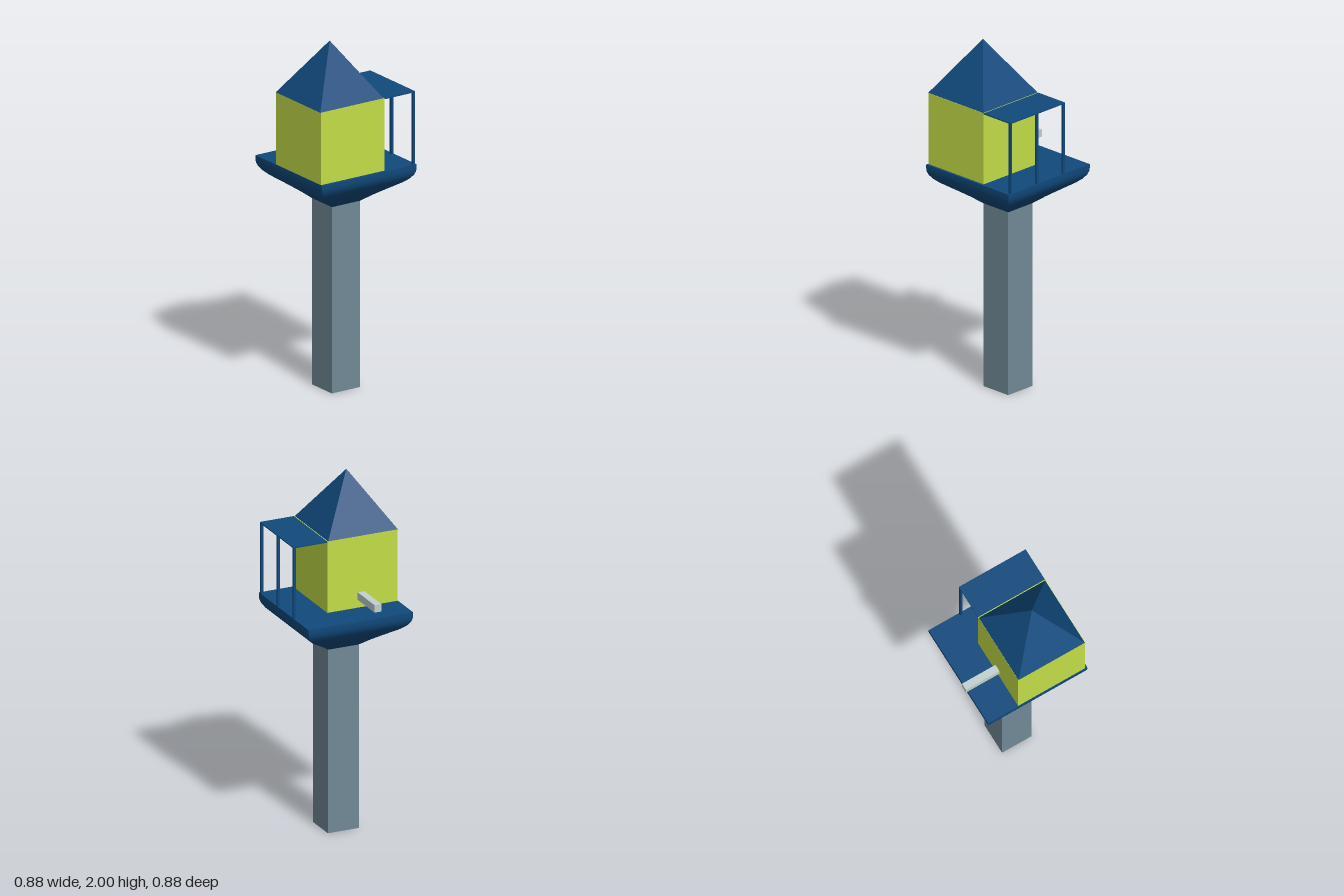
import * as THREE from 'three';
import { toCreasedNormals } from 'three/addons/utils/BufferGeometryUtils.js';

const material = (name, color) => {
  const m = new THREE.MeshStandardMaterial({ color });
  m.name = name;
  return m;
};

export function createModel() {
  const blue = material('deep blue', 0x10497c);
  const lime = material('lime', 0xc3dd47);
  const slate = material('slate grey', 0x718996);
  const pale = material('pale grey', 0xc3d1d1);

  const tower = new THREE.Group();
  tower.name = 'tower';
  tower.rotation.y = THREE.MathUtils.degToRad(44.3);

  const add = (name, geometry, mat) => {
    const mesh = new THREE.Mesh(geometry, mat);
    mesh.name = name;
    tower.add(mesh);
    return mesh;
  };
  // Box given by its minimum and maximum corners
  const box = (name, mat, [x0, y0, z0], [x1, y1, z1]) =>
    add(name, new THREE.BoxGeometry(x1 - x0, y1 - y0, z1 - z0), mat)
      .position.set((x0 + x1) / 2, (y0 + y1) / 2, (z0 + z1) / 2);

  // Square pole
  box('pole', slate, [-0.092, 0, -0.092], [0.092, 1.06, 0.092]);

  // Square platform with a curved underside; radii run to the corners
  const profile = [
    [0, 1.055], [0.13, 1.055], [0.2, 1.094], [0.262, 1.125], [0.32, 1.153],
    [0.365, 1.175], [0.4, 1.197], [0.424, 1.22], [0.435, 1.24],
    [0.438, 1.26], [0.438, 1.28], [0, 1.28],
  ].map(([r, y]) => new THREE.Vector2(r, y));
  const bowl = new THREE.LatheGeometry(profile, 4, Math.PI / 4);
  add('platform', toCreasedNormals(bowl, 0.6), blue);

  // Cabin with pyramid roof
  box('cabin', lime, [-0.307, 1.27, -0.121], [0.109, 1.69, 0.296]);
  const roof = new THREE.ConeGeometry(0.207 * Math.SQRT2, 0.31, 4, 1, false, Math.PI / 4);
  add('roof', toCreasedNormals(roof, 0.3), blue).position.set(-0.103, 1.845, 0.087);

  // Porch canopy and its three posts
  box('canopy', blue, [0.109, 1.684, -0.121], [0.31, 1.69, 0.296]);
  for (const z of [-0.114, 0.088, 0.289]) {
    box('canopyPost', blue, [0.295, 1.275, z - 0.007], [0.309, 1.685, z + 0.007]);
  }

  // Beam sticking out of the cabin side
  box('beam', pale, [-0.112, 1.325, -0.33], [-0.071, 1.368, -0.12]);

  const model = new THREE.Group();
  model.name = 'watchtower';
  model.add(tower);
  return model;
}
